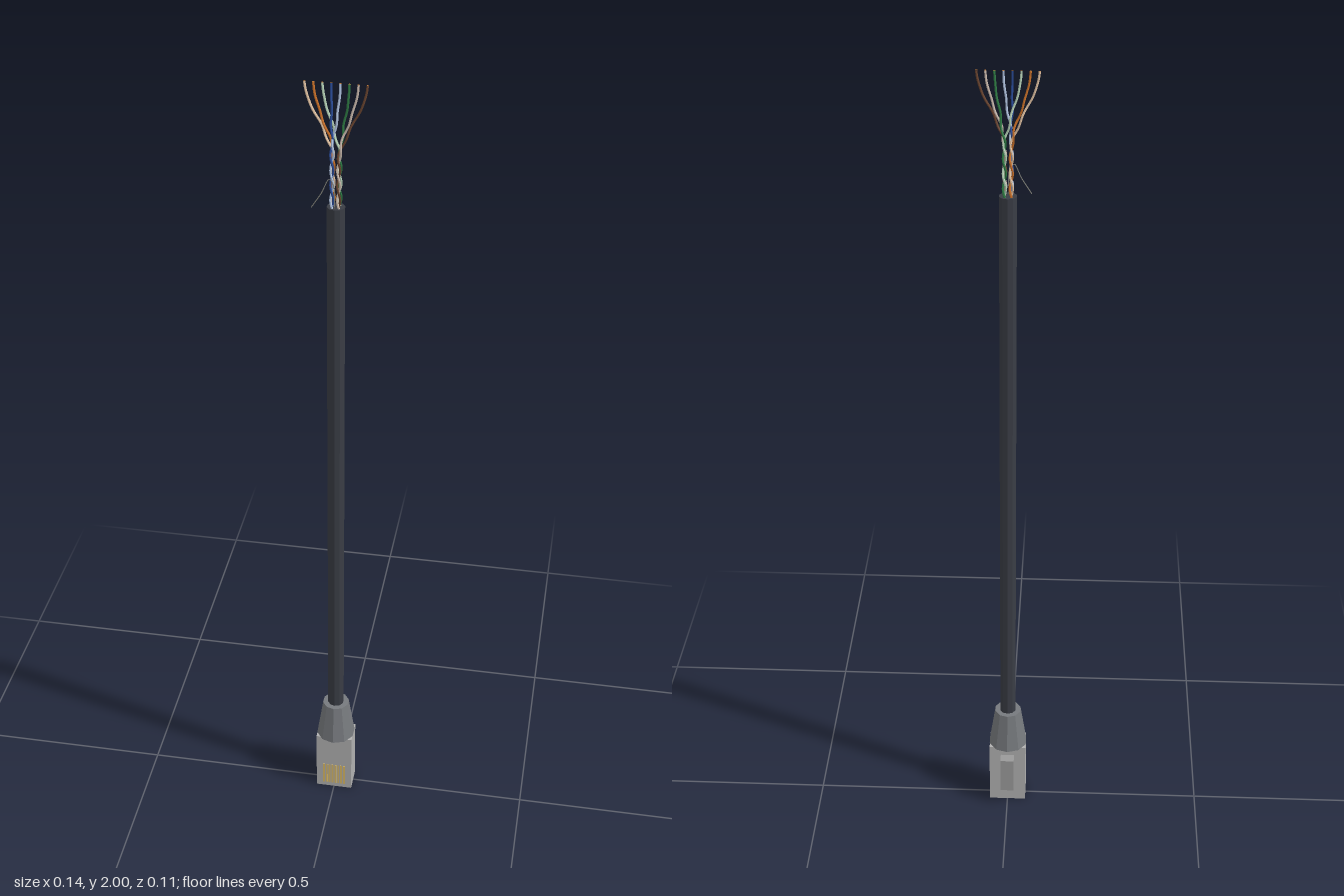
import * as THREE from 'three';

const CABLE_TOP = 1.715;

export function createModel() {
  const model = new THREE.Group();

  const add = (name, geometry, color, x, y, z, parent = model) => {
    const material = new THREE.MeshStandardMaterial({ color, flatShading: true });
    const mesh = new THREE.Mesh(geometry, material);
    mesh.name = name;
    mesh.position.set(x, y, z);
    parent.add(mesh);
    return mesh;
  };

  // Plug body with its latch on the back
  add('plugBody', new THREE.BoxGeometry(0.094, 0.175, 0.063), 0xb0b0b0, 0, 0.0875, 0.002);
  add('latch', new THREE.BoxGeometry(0.035, 0.1, 0.028), 0x9a9a9a, 0, 0.1, -0.041);

  // Row of contacts low on the front of the plug
  const contacts = new THREE.Group();
  contacts.name = 'contacts';
  model.add(contacts);
  for (let i = 0; i < 8; i++) {
    add('contact', new THREE.BoxGeometry(0.005, 0.065, 0.004), 0xd8b968,
      (i - 3.5) * 0.0078, 0.045, 0.0325, contacts);
  }

  // Tapered strain relief and the ten-sided cable jacket
  add('strainRelief', new THREE.CylinderGeometry(0.034, 0.05, 0.105, 10), 0x777a7e, 0, 0.2275, 0.002);
  add('cableJacket', new THREE.CylinderGeometry(0.0205, 0.0205, CABLE_TOP - 0.275, 10), 0x3a3d45,
    0, (CABLE_TOP + 0.275) / 2, 0.002);

  // Four twisted pairs that untwist and fan out; slots give the order in the fan
  const wires = new THREE.Group();
  wires.name = 'wires';
  model.add(wires);
  const pairs = [
    { x: -0.0075, z: -0.006, slots: [0, 1], colors: [0xe8c8a8, 0xd0742a] },
    { x: 0.0075, z: -0.006, slots: [2, 5], colors: [0xbfdcc0, 0x2f7d45] },
    { x: -0.0075, z: 0.010, slots: [4, 3], colors: [0xb8cbe8, 0x2c4f9e] },
    { x: 0.0075, z: 0.010, slots: [6, 7], colors: [0xd0bfb2, 0x6b4530] },
  ];
  for (const pair of pairs) {
    pair.slots.forEach((slot, k) => {
      const points = [];
      for (let i = 0; i <= 40; i++) {
        const y = 1.7 + 0.298 * i / 40;
        const spread = THREE.MathUtils.smoothstep(y, 1.82, 2.0);
        const twist = (y - 1.7) / 0.07 * Math.PI * 2 + k * Math.PI;
        const r = 0.0032 * (1 - spread);
        const endX = (slot - 3.5) * 0.0192;
        points.push(new THREE.Vector3(
          THREE.MathUtils.lerp(pair.x, endX, spread) + r * Math.cos(twist),
          y,
          THREE.MathUtils.lerp(pair.z, 0.002 + endX * 0.02, spread) + r * Math.sin(twist)));
      }
      const path = new THREE.CatmullRomCurve3(points);
      add('wire', new THREE.TubeGeometry(path, 60, 0.0027, 6), pair.colors[k], 0, 0, 0, wires);
      // Cut end of the wire
      const cap = add('wireEnd', new THREE.CircleGeometry(0.0027, 6), 0xb87333,
        points[40].x, points[40].y, points[40].z, wires);
      cap.rotation.x = -Math.PI / 2;
    });
  }

  // Thin pull cord hanging over the edge of the jacket
  const cord = new THREE.CatmullRomCurve3([
    new THREE.Vector3(-0.002, 1.70, 0.013),
    new THREE.Vector3(-0.003, 1.77, 0.014),
    new THREE.Vector3(-0.012, 1.785, 0.015),
    new THREE.Vector3(-0.03, 1.75, 0.015),
    new THREE.Vector3(-0.052, 1.715, 0.015),
  ]);
  add('pullCord', new THREE.TubeGeometry(cord, 24, 0.0011, 5), 0x8a8a80, 0, 0, 0);

  return model;
}
